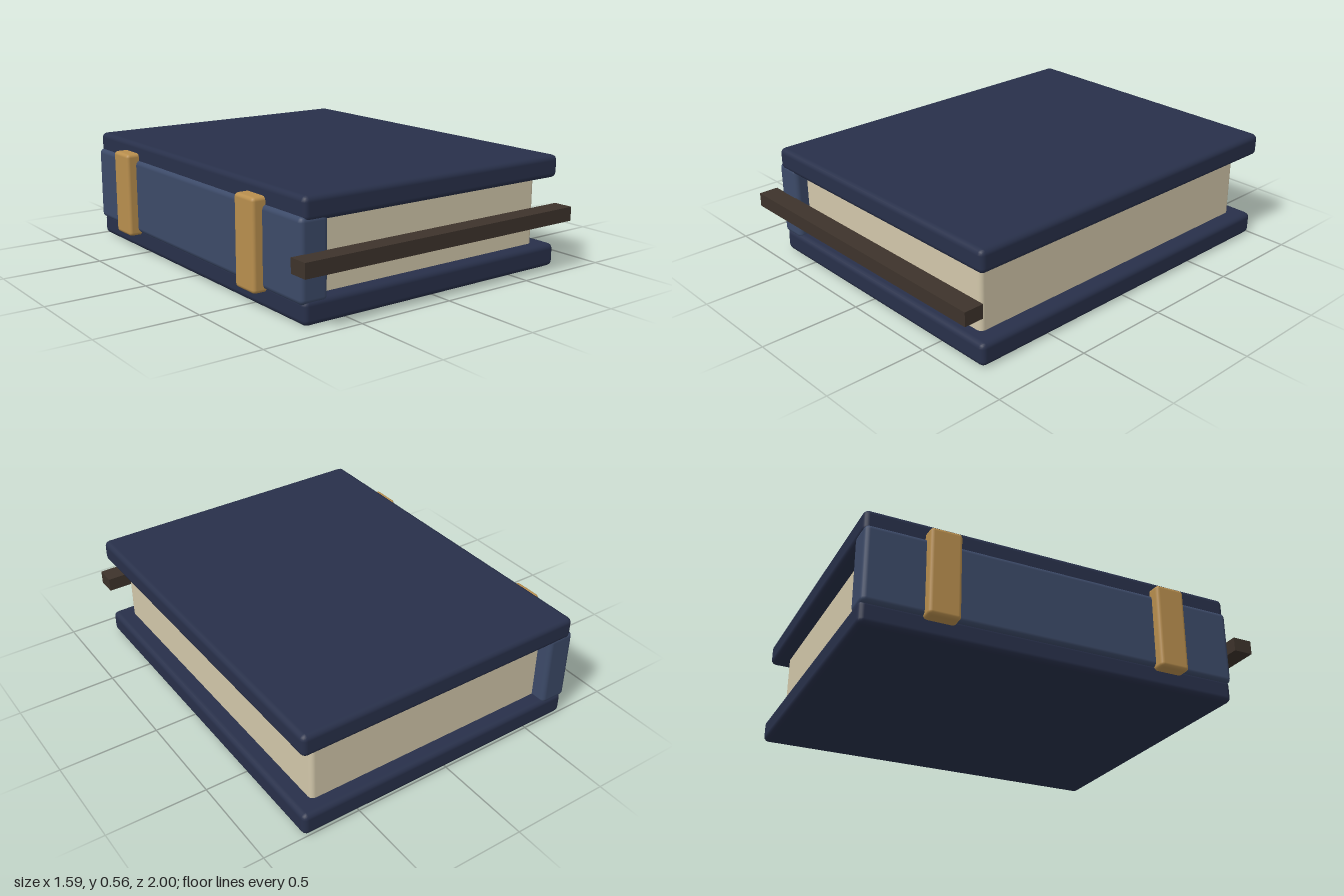
import * as THREE from 'three';
import { RoundedBoxGeometry } from 'three/addons/geometries/RoundedBoxGeometry.js';

const material = (color) => new THREE.MeshStandardMaterial({ color });

export function createModel() {
  const book = new THREE.Group();
  book.name = 'book';

  const coverMat = material(0x28304a);
  const spineMat = material(0x3c4a68);
  const pageMat = material(0xd2c7aa);
  const brassMat = material(0xb98f4e);
  const strapMat = material(0x3d332b);

  // Adds a box given by its [min, max] extent on each axis; bevel 0 keeps sharp edges
  function addBox(name, mat, [x0, x1], [y0, y1], [z0, z1], bevel) {
    const size = [x1 - x0, y1 - y0, z1 - z0];
    const geometry = bevel
      ? new RoundedBoxGeometry(...size, 2, bevel)
      : new THREE.BoxGeometry(...size);
    const mesh = new THREE.Mesh(geometry, mat);
    mesh.position.set((x0 + x1) / 2, (y0 + y1) / 2, (z0 + z1) / 2);
    mesh.name = name;
    book.add(mesh);
  }

  // Boards above and below the page block
  const boardX = [-0.73, 0.793];
  const boardZ = [-1, 0.905];
  addBox('bottomCover', coverMat, boardX, [0, 0.115], boardZ, 0.027);
  addBox('topCover', coverMat, boardX, [0.45, 0.563], boardZ, 0.027);

  // Page block and spine
  addBox('pages', pageMat, [-0.65, 0.705], [0.09, 0.475], [-0.922, 0.837], 0.025);
  addBox('spine', spineMat, [-0.747, -0.602], [0.095, 0.477], [-0.998, 0.903], 0.025);

  // Raised bands across the spine
  for (const z of [-0.635, 0.54]) {
    addBox('spineBand', brassMat, [-0.796, -0.7], [0.08, 0.512], [z - 0.077, z + 0.077], 0.018);
  }

  // Straight strap along the front edge
  addBox('strap', strapMat, [-0.796, 0.793], [0.25, 0.32], [0.9, 1], 0);

  return book;
}
